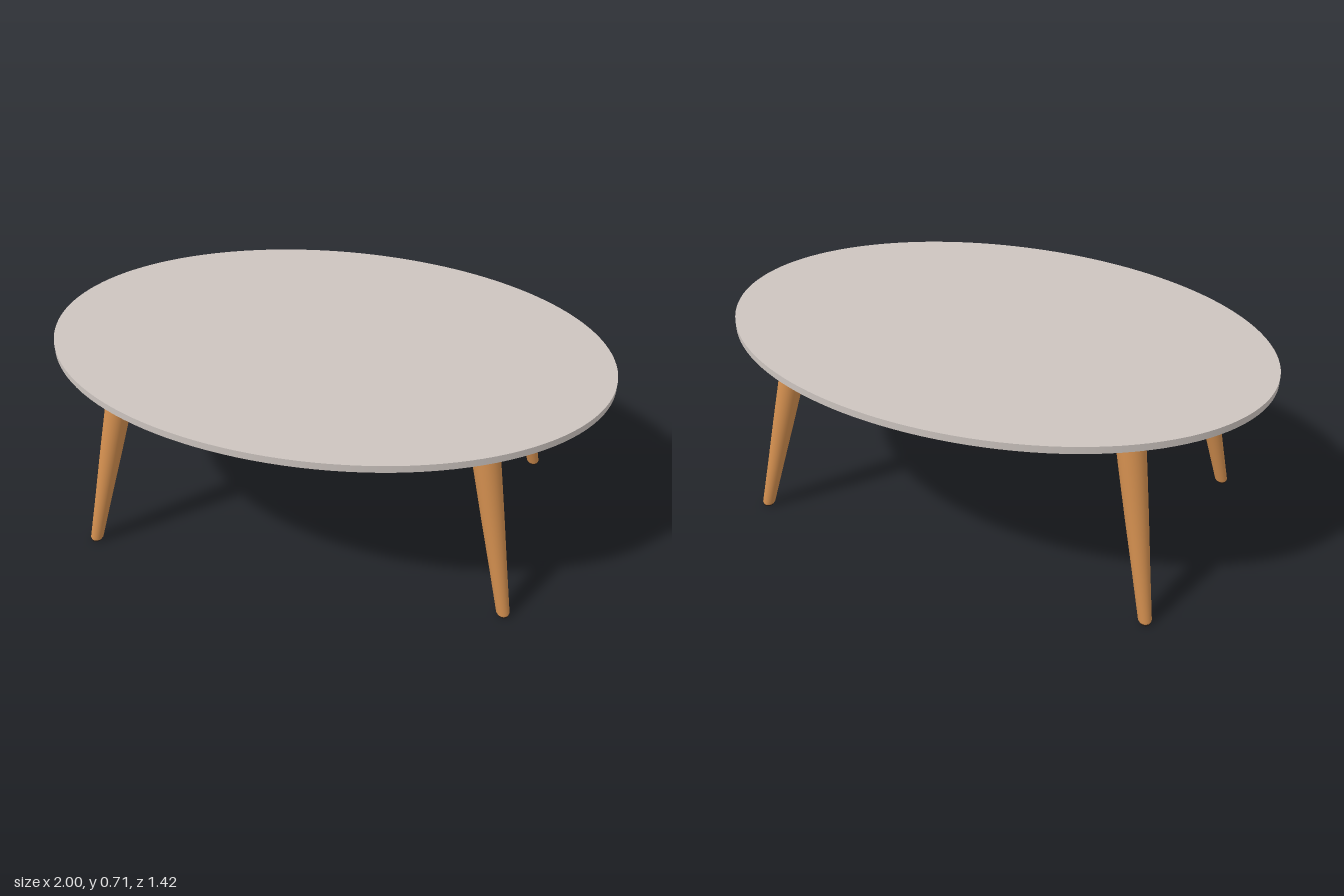
import * as THREE from 'three';

const TOP_Y = 0.69;      // underside of the table top
const FRAME_Y = 0.64;    // underside of the frame
const CENTRE_X = -0.013; // base sits slightly off centre
const HIP = { x: 0.615, z: 0.345 };  // leg axis at the top
const FOOT = { x: 0.757, z: 0.452 }; // leg axis at the floor

const stone = new THREE.MeshStandardMaterial({ color: 0xccc4bf });
stone.name = 'pale stone';
const wood = new THREE.MeshStandardMaterial({ color: 0xd08d4e });
wood.name = 'oak';
const rubber = new THREE.MeshStandardMaterial({ color: 0x2a211c });
rubber.name = 'dark foot pad';

function add(parent, name, geometry, material) {
  const mesh = new THREE.Mesh(geometry, material);
  mesh.name = name;
  parent.add(mesh);
  return mesh;
}

// Round turned part leaning outwards: a lathe sheared along x and z
function leaningLathe(profile, sx, sz) {
  const points = profile.map(([r, y]) => new THREE.Vector2(r, y));
  const geometry = new THREE.LatheGeometry(points, 32);
  const kx = sx * (HIP.x - FOOT.x) / TOP_Y;
  const kz = sz * (HIP.z - FOOT.z) / TOP_Y;
  geometry.applyMatrix4(new THREE.Matrix4().makeShear(0, 0, kx, kz, 0, 0));
  return geometry.translate(sx * FOOT.x, 0, sz * FOOT.z);
}

// Centre bar that forks into an arm for each leg
function frameGeometry() {
  // One quarter of the outline, from the middle of the bar to the crotch
  const outer = new THREE.QuadraticBezierCurve(
    new THREE.Vector2(0.19, 0.058), new THREE.Vector2(0.36, 0.165), new THREE.Vector2(0.59, 0.372));
  const inner = new THREE.QuadraticBezierCurve(
    new THREE.Vector2(0.637, 0.318), new THREE.Vector2(0.44, 0.14), new THREE.Vector2(0.325, 0));
  const quarter = [new THREE.Vector2(0, 0.045), ...outer.getPoints(10), ...inner.getPoints(10)];
  const flip = (points, sx, sy) => points.map((p) => new THREE.Vector2(p.x * sx, p.y * sy));
  const reversed = [...quarter].reverse().slice(1);
  const outline = [
    ...quarter,
    ...flip(reversed, 1, -1),
    ...flip(quarter.slice(1), -1, -1),
    ...flip(reversed.slice(0, -1), -1, 1),
  ];
  const geometry = new THREE.ExtrudeGeometry(new THREE.Shape(outline), {
    depth: TOP_Y - FRAME_Y, bevelEnabled: false,
  });
  return geometry.rotateX(-Math.PI / 2).translate(0, FRAME_Y, 0);
}

export function createModel() {
  const table = new THREE.Group();
  table.name = 'ovalTable';

  // Thin oval top
  const top = new THREE.CylinderGeometry(1, 1, 0.025, 128);
  top.scale(1, 1, 0.71).translate(0, TOP_Y + 0.0125, 0);
  add(table, 'tableTop', top, stone);

  const base = new THREE.Group();
  base.name = 'base';
  base.position.x = CENTRE_X;
  table.add(base);
  add(base, 'frame', frameGeometry(), wood);

  // Four tapered legs with dark pads
  const legProfile = [
    [0.019, 0.006], [0.023, 0.014], [0.030, 0.18], [0.039, 0.37],
    [0.046, 0.54], [0.049, 0.64], [0.049, TOP_Y],
  ];
  const padProfile = [[0, 0], [0.017, 0], [0.0195, 0.004], [0.0195, 0.008]];
  for (const sx of [1, -1]) {
    for (const sz of [1, -1]) {
      const name = (sz > 0 ? 'front' : 'back') + (sx > 0 ? 'Left' : 'Right');
      add(base, name + 'Leg', leaningLathe(legProfile, sx, sz), wood);
      add(base, name + 'FootPad', leaningLathe(padProfile, sx, sz), rubber);
    }
  }
  return table;
}
